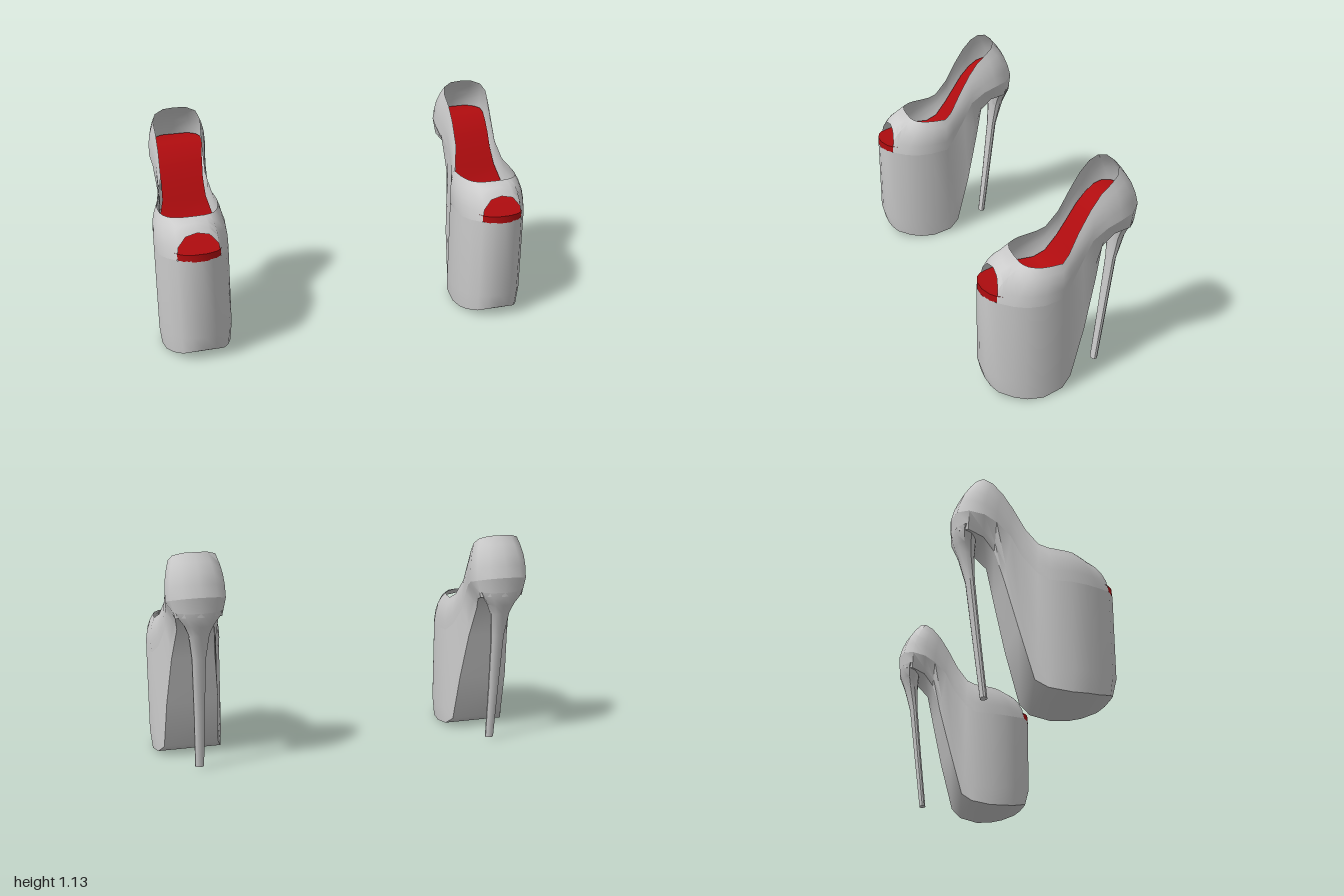
import * as THREE from 'three';
import { toCreasedNormals } from 'three/addons/utils/BufferGeometryUtils.js';

const grey = new THREE.MeshStandardMaterial({ color: 0xcccccc, side: THREE.DoubleSide });
const red = new THREE.MeshStandardMaterial({ color: 0xb00c0f, side: THREE.DoubleSide });

const mix = THREE.MathUtils.lerp;
const blend = (p, q, t) => p.map((v, i) => mix(v, q[i], t));

// Centre line of a shoe: x as a function of z
const centre = z => z > 0.15 ? mix(0.81, 0.8, (z - 0.15) / 0.24) : mix(0.788, 0.81, (z + 0.39) / 0.54);

// Half outlines run from toe to heel; each point is [half width, y, z]
const sides = [
  [0.15, 0.555, 0.28], [0.175, 0.55, 0.22], [0.186, 0.55, 0.14], [0.175, 0.555, 0.04], [0.148, 0.6, -0.01],
  [0.125, 0.7, -0.08], [0.125, 0.8, -0.13], [0.138, 0.86, -0.2], [0.147, 0.89, -0.26],
  [0.135, 0.91, -0.33], [0.085, 0.925, -0.378], [0, 0.93, -0.392],
];
const seam = [[0, 0.57, 0.39], [0.06, 0.57, 0.382], [0.11, 0.566, 0.347], ...sides];
const low = [
  [0, 0.14, 0.39], [0.06, 0.14, 0.382], [0.11, 0.13, 0.347], [0.15, 0.12, 0.28], [0.175, 0.11, 0.22],
  [0.186, 0.1, 0.14], [0.172, 0.1, 0.035], [0.148, 0.18, -0.015],
];
const bottom = [
  [0, 0.055, 0.365], [0.06, 0.05, 0.36], [0.105, 0.035, 0.335], [0.143, 0.014, 0.27], [0.167, 0.005, 0.21],
  [0.176, 0, 0.13], [0.165, 0.018, 0.025], [0.142, 0.06, -0.03], [0.132, 0.32, -0.1], [0.11, 0.57, -0.16],
  [0.085, 0.73, -0.2], [0.1, 0.795, -0.255], [0.115, 0.82, -0.33], [0.075, 0.83, -0.37], [0, 0.83, -0.387],
];
const toeArch = [[0, 0.69, 0.322], [0.06, 0.678, 0.328], [0.1, 0.63, 0.338], [0.11, 0.566, 0.347]];
const rim = [
  [0, 0.735, 0.22], [0.06, 0.735, 0.218], [0.09, 0.735, 0.21], [0.115, 0.735, 0.195], [0.135, 0.735, 0.165],
  [0.145, 0.735, 0.135], [0.15, 0.735, 0.1], [0.155, 0.738, 0.04], [0.135, 0.765, 0], [0.113, 0.85, -0.055],
  [0.112, 0.96, -0.115], [0.115, 1.035, -0.165], [0.12, 1.085, -0.215], [0.105, 1.115, -0.255],
  [0.06, 1.13, -0.278], [0, 1.132, -0.285],
];
const insole = [
  [0.03, 0.605, 0.39], [0.08, 0.602, 0.37], [0.108, 0.6, 0.345], [0.138, 0.595, 0.28], [0.172, 0.59, 0.15],
  [0.163, 0.59, 0.05], [0.138, 0.63, 0], [0.112, 0.72, -0.05], [0.108, 0.8, -0.1], [0.114, 0.87, -0.15],
  [0.12, 0.92, -0.2], [0.128, 0.95, -0.25], [0.128, 0.96, -0.29], [0.11, 0.96, -0.33], [0.07, 0.96, -0.36],
];

const mirror = half => half.map(([w, y, z]) => [-w, y, z]);
const loop = half => [...half, ...mirror(half).reverse()];

// Surface through rows of points, each shifted onto the shoe's centre line
function grid(rows, side) {
  const pos = [], index = [], n = rows[0].length;
  for (const row of rows) for (const [w, y, z] of row) pos.push(side * centre(z) + w, y, z);
  for (let i = 0; i < rows.length - 1; i++) {
    for (let j = 0; j < n - 1; j++) {
      const a = i * n + j, b = a + n;
      index.push(a, b, b + 1, a, b + 1, a + 1);
    }
  }
  const g = new THREE.BufferGeometry();
  g.setAttribute('position', new THREE.Float32BufferAttribute(pos, 3));
  g.setIndex(index);
  return toCreasedNormals(g, 0.75);
}

// Upper: blends from the throat rim out to the toe arch and seam, slightly bulged
function upperRows() {
  const outer = [...toeArch, ...sides];
  return [0, 0.25, 0.5, 0.75, 1].map(t => {
    const k = Math.sin(Math.PI * t);
    return loop(rim.map((p, i) => {
      const [w, y, z] = blend(p, outer[i], t);
      return [w * (1 + 0.07 * k), y + 0.012 * k, z * (1 + 0.04 * k)];
    }));
  });
}

// Sole wall: seam, shoulder above the ground, bottom edge
function soleRows() {
  const shoulder = seam.map((p, i) => low[i] || blend(p, bottom[i], 0.7));
  return [seam, shoulder, bottom].map(loop);
}

// Stiletto: closed rings given as [y, front z, back z, half width]
function heelRows() {
  const rings = [
    [0.85, -0.265, -0.388, 0.12], [0.82, -0.27, -0.385, 0.105], [0.78, -0.273, -0.373, 0.075],
    [0.73, -0.276, -0.355, 0.053], [0.6, -0.273, -0.318, 0.036], [0.3, -0.243, -0.282, 0.028],
    [0.012, -0.212, -0.246, 0.023], [0.012, -0.229, -0.229, 0],
  ];
  return rings.map(([y, front, back, hw]) => Array.from({ length: 11 }, (_, j) => {
    const a = j / 10 * Math.PI * 2;
    return [Math.sin(a) * hw, y, (front + back) / 2 + Math.cos(a) * (front - back) / 2];
  }));
}

function shoe(side) {
  const group = new THREE.Group();
  group.name = side > 0 ? 'leftShoe' : 'rightShoe';
  const add = (name, rows, material) => {
    const mesh = new THREE.Mesh(grid(rows, side), material);
    mesh.name = name;
    group.add(mesh);
  };
  add('upper', upperRows(), grey);
  add('platformWall', soleRows(), grey);
  add('outsole', [bottom, mirror(bottom)], grey);
  add('stilettoHeel', heelRows(), grey);
  add('insole', [mirror(insole), insole], red);
  // Edge of the insole, seen in the open toe
  const toe = insole.slice(0, 3);
  const edge = [...mirror(toe).reverse(), ...toe];
  add('insoleEdge', [edge, edge.map(([w, , z]) => [w, 0.566, z])], red);
  return group;
}

export function createModel() {
  const model = new THREE.Group();
  model.name = 'platformHeels';
  model.add(shoe(1), shoe(-1));
  return model;
}
